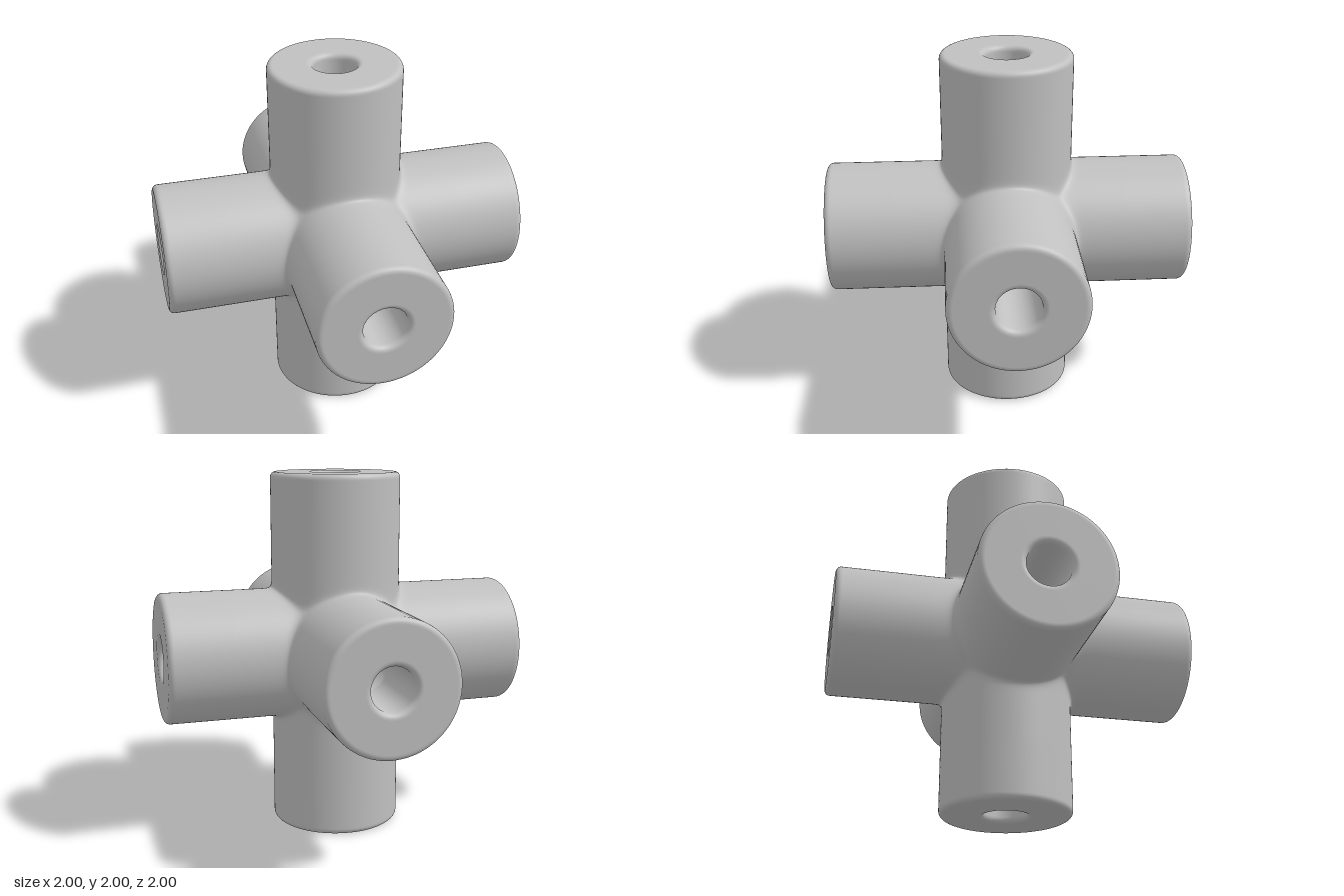
import * as THREE from 'three';

const R = 0.36;        // arm radius
const HOLE = 0.117;    // bore radius
const BLEND = 0.014;   // softness of the fillets between arms
const EDGE = 0.03;     // rounding of the rims
const SEG = 96;
const JOIN = 0.95;     // height where the shaft meets its rounded end

// Smooth union of three crossed cylinders
function field(x, y, z) {
  const d = [Math.hypot(y, z), Math.hypot(x, z), Math.hypot(x, y)];
  const m = Math.min(...d);
  const sum = d.reduce((t, v) => t + Math.exp((m - v) / BLEND), 0);
  return m - BLEND * Math.log(sum) - R;
}

// Shaft of the upward arm, from the mitred, filleted joint to the rounded end
function shaftGeometry() {
  const rows = [0, 0.008, 0.016, 0.025, 0.035, 0.05, 0.07, 0.1, 0.15, 0.25, 0.5, JOIN];
  const pos = [], nor = [], idx = [];
  const e = 1e-4;
  rows.forEach((s, j) => {
    for (let i = 0; i <= SEG; i++) {
      const a = (i / SEG) * Math.PI * 2, c = Math.cos(a), n = Math.sin(a);
      const lean = Math.max(Math.abs(c), Math.abs(n)) * (1 - s / JOIN);
      let lo = 0.2, hi = 0.6;
      for (let k = 0; k < 30; k++) {
        const r = (lo + hi) / 2;
        if (field(r * c, s + r * lean, r * n) < 0) lo = r; else hi = r;
      }
      const x = lo * c, y = s + lo * lean, z = lo * n;
      pos.push(x, y, z);
      const g = new THREE.Vector3(
        field(x + e, y, z) - field(x - e, y, z),
        field(x, y + e, z) - field(x, y - e, z),
        field(x, y, z + e) - field(x, y, z - e)).normalize();
      nor.push(g.x, g.y, g.z);
      if (j < rows.length - 1 && i < SEG) {
        const p = j * (SEG + 1) + i, q = p + SEG + 1;
        idx.push(p, q, p + 1, p + 1, q, q + 1);
      }
    }
  });
  const geo = new THREE.BufferGeometry();
  geo.setAttribute('position', new THREE.Float32BufferAttribute(pos, 3));
  geo.setAttribute('normal', new THREE.Float32BufferAttribute(nor, 3));
  geo.setIndex(idx);
  return geo;
}

// Rounded rim, flat end face and blind bore with a dished floor
function endGeometry() {
  const pts = [];
  const add = (x, y) => pts.push(new THREE.Vector2(x, y));
  const arc = (cx, cy, r, from, to) => {
    for (let i = 0; i <= 6; i++) {
      const a = from + (to - from) * i / 6;
      add(cx + r * Math.cos(a), cy + r * Math.sin(a));
    }
  };
  add(R, JOIN);
  add(R, 1 - EDGE - 0.005);
  arc(R - EDGE, 1 - EDGE, EDGE, 0, Math.PI / 2);
  add(R - EDGE - 0.005, 1);
  add(HOLE + EDGE + 0.005, 1);
  arc(HOLE + EDGE, 1 - EDGE, EDGE, Math.PI / 2, Math.PI);
  add(HOLE, 1 - EDGE - 0.005);
  add(HOLE, 0.555);
  add(HOLE, 0.55);
  add(HOLE * 0.9, 0.53);
  add(HOLE * 0.6, 0.51);
  add(HOLE * 0.3, 0.502);
  add(0, 0.5);
  return new THREE.LatheGeometry(pts, SEG);
}

export function createModel() {
  const model = new THREE.Group();
  model.name = 'sixWayConnector';
  const grey = new THREE.MeshStandardMaterial({ color: 0xc0c0c0 });
  grey.name = 'light grey';
  const shaft = shaftGeometry(), end = endGeometry();

  // Six identical arms around the centre
  const h = Math.PI / 2;
  const arms = [
    ['topArm', 0, 0], ['bottomArm', Math.PI, 0],
    ['frontArm', h, 0], ['backArm', -h, 0],
    ['leftArm', 0, -h], ['rightArm', 0, h],
  ];
  for (const [name, rx, rz] of arms) {
    const arm = new THREE.Group();
    arm.name = name;
    const shaftMesh = new THREE.Mesh(shaft, grey);
    shaftMesh.name = 'shaft';
    const endMesh = new THREE.Mesh(end, grey);
    endMesh.name = 'boredEnd';
    arm.add(shaftMesh, endMesh);
    arm.rotation.set(rx, 0, rz);
    arm.position.y = 1;
    model.add(arm);
  }
  return model;
}
